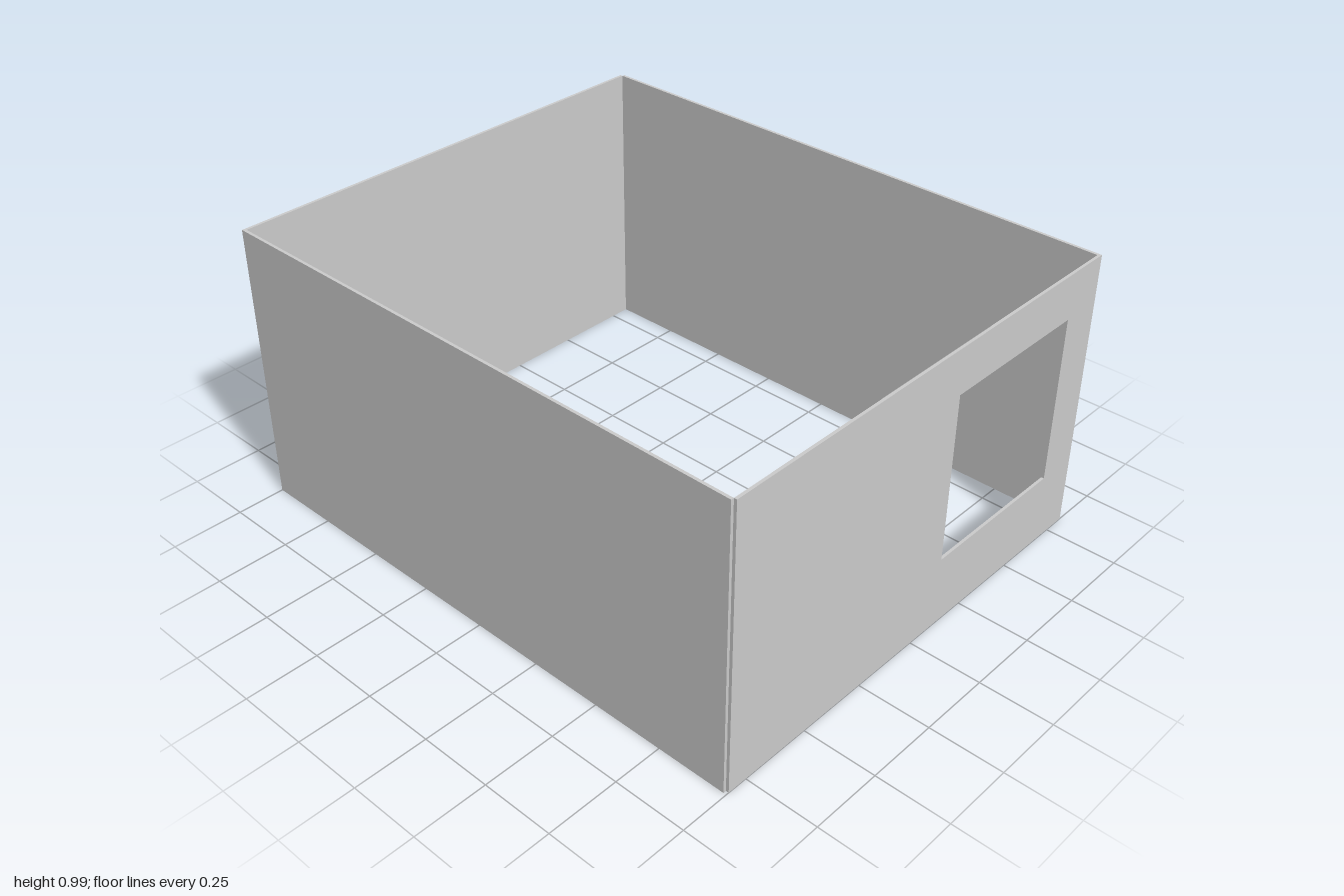
import * as THREE from 'three';

const HEIGHT = 0.99, HALF_X = 1, HALF_Z = 0.83, T = 0.01;
const material = new THREE.MeshStandardMaterial({ color: 0xcccccc, flatShading: true });

function boxWall(name, x0, x1, z0, z1) {
  const wall = new THREE.Mesh(new THREE.BoxGeometry(x1 - x0, HEIGHT, z1 - z0), material);
  wall.position.set((x0 + x1) / 2, HEIGHT / 2, (z0 + z1) / 2);
  wall.name = name;
  return wall;
}

function rectangle(path, x0, x1, y0, y1) {
  return path.moveTo(x0, y0).lineTo(x1, y0).lineTo(x1, y1).lineTo(x0, y1).closePath();
}

// Side wall with a window opening, drawn along -z and extruded towards +x
function windowWall() {
  const shape = rectangle(new THREE.Shape(), -HALF_Z + T, HALF_Z, 0, HEIGHT);
  shape.holes.push(rectangle(new THREE.Path(), 0.125, 0.68, 0.245, 0.83));
  const geometry = new THREE.ExtrudeGeometry(shape, { depth: T, bevelEnabled: false });
  geometry.rotateY(Math.PI / 2);
  const wall = new THREE.Mesh(geometry, material);
  wall.position.x = HALF_X - T;
  wall.name = 'windowWall';
  return wall;
}

export function createModel() {
  const room = new THREE.Group();
  room.name = 'room';
  // Two opposite corners are closed, the other two keep a tiny notch
  room.add(
    boxWall('frontWall', -HALF_X + T, HALF_X - T, HALF_Z - T, HALF_Z),
    boxWall('backWall', -HALF_X + T, HALF_X - T, -HALF_Z, -HALF_Z + T),
    boxWall('plainSideWall', -HALF_X, -HALF_X + T, -HALF_Z + T, HALF_Z),
    windowWall()
  );
  return room;
}
